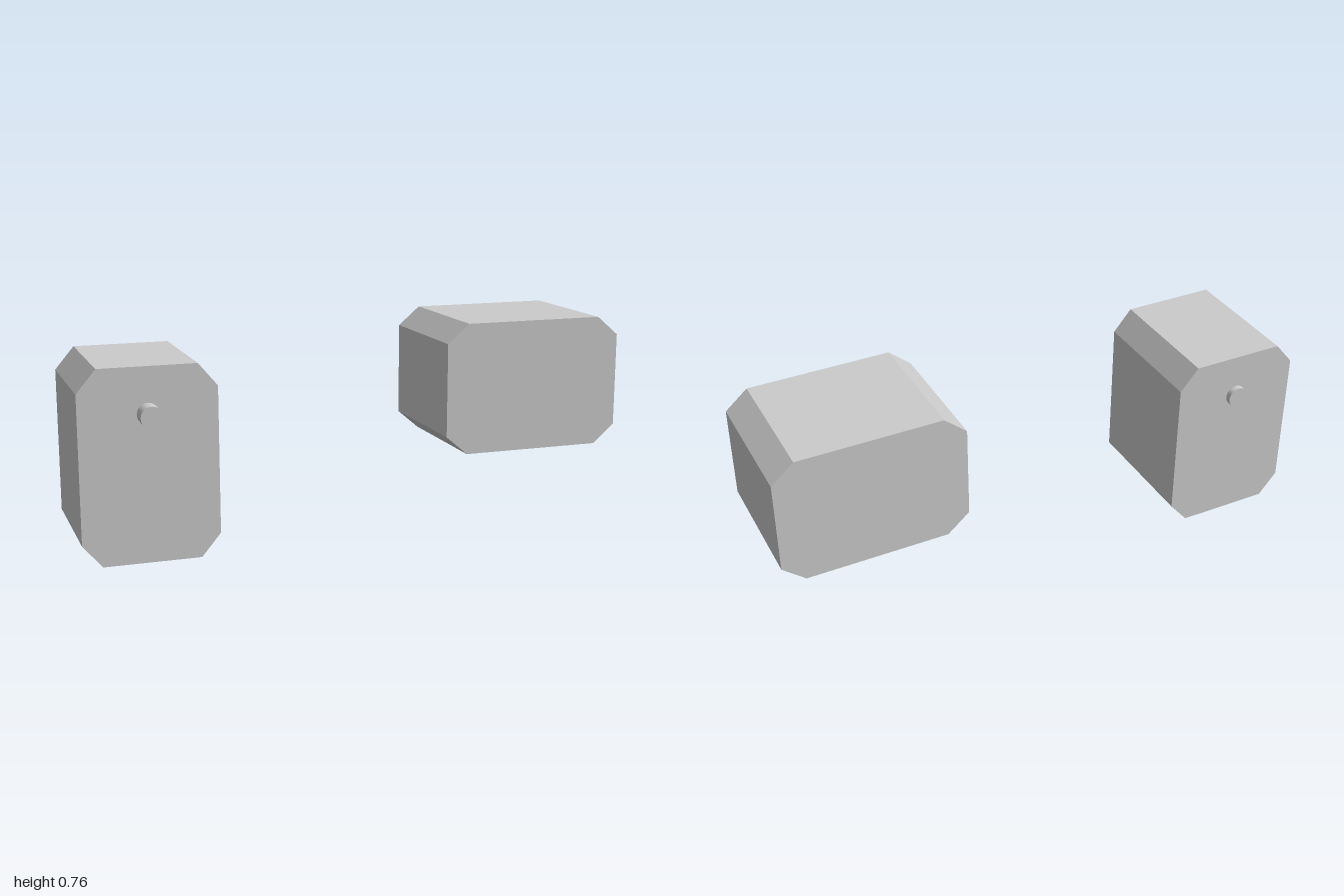
import * as THREE from 'three';

const material = new THREE.MeshStandardMaterial({ color: 0xcccccc });
const BACK = -0.26, FRONT = 0.215;

// Block with its four long edges chamfered by cx (across) and cy (up)
function chamferedBlock(name, x0, x1, y0, y1, cx, cy) {
  const shape = new THREE.Shape([
    [x0 + cx, y0], [x1 - cx, y0], [x1, y0 + cy], [x1, y1 - cy],
    [x1 - cx, y1], [x0 + cx, y1], [x0, y1 - cy], [x0, y0 + cy],
  ].map(([x, y]) => new THREE.Vector2(x, y)));
  const geometry = new THREE.ExtrudeGeometry(shape, { depth: FRONT - BACK, bevelEnabled: false });
  geometry.translate(0, 0, BACK);
  const mesh = new THREE.Mesh(geometry, material);
  mesh.name = name;
  return mesh;
}

export function createModel() {
  const model = new THREE.Group();
  model.name = 'chamferedBlocks';

  // Upright block, and the same section lying on its side
  model.add(chamferedBlock('uprightBlock', -1, -0.522, 0, 0.68, 0.068, 0.081));
  model.add(chamferedBlock('lyingBlock', 0.32, 1, 0.284, 0.762, 0.081, 0.069));

  // Pin running through the upright block, longer at the front
  const pin = new THREE.Mesh(new THREE.CylinderGeometry(0.038, 0.038, 0.562, 24), material);
  pin.name = 'pin';
  pin.rotation.x = Math.PI / 2;
  pin.position.set(-0.763, 0.518, 0);
  model.add(pin);

  return model;
}
